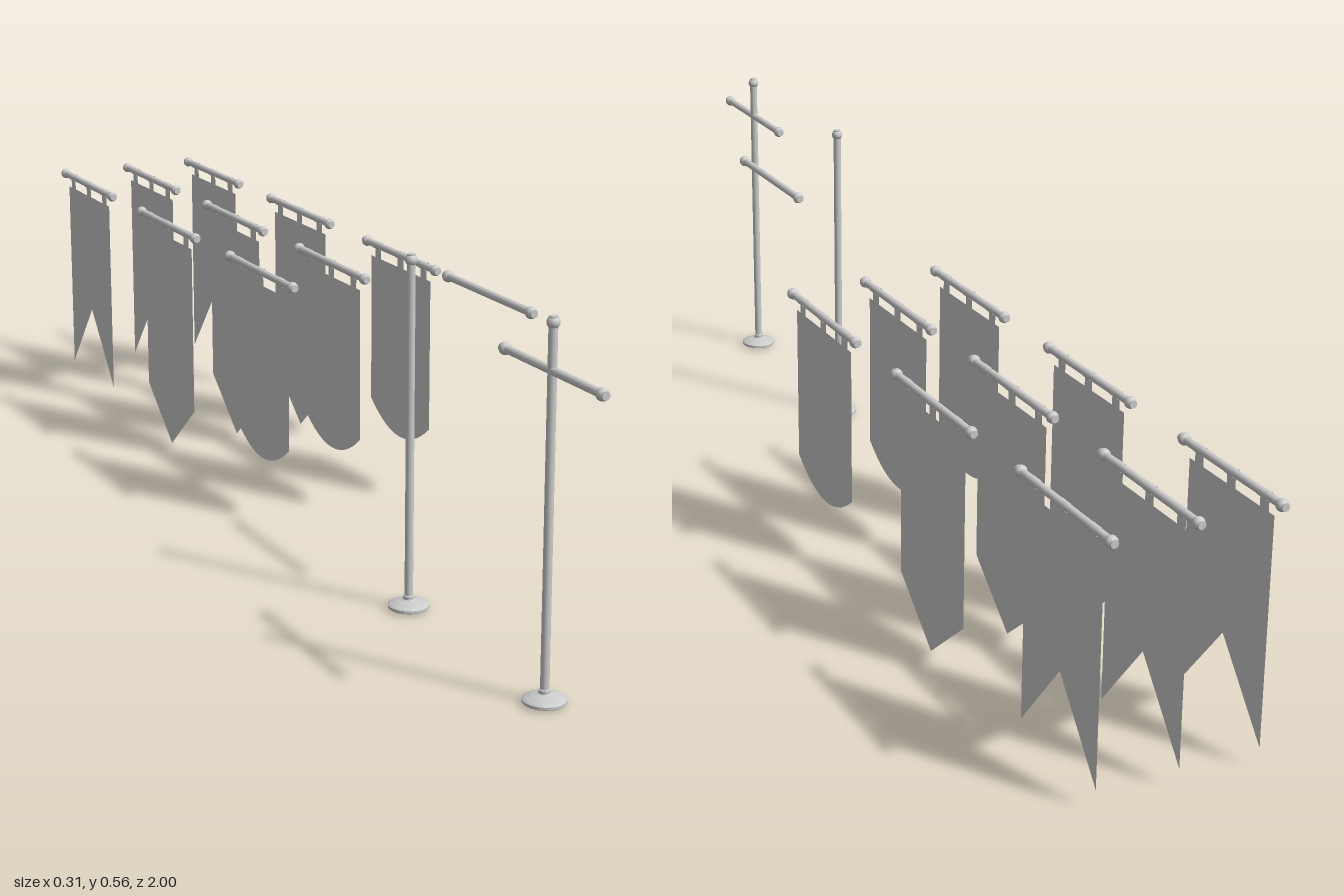
import * as THREE from 'three';

const metal = new THREE.MeshStandardMaterial({ color: 0xcccccc });
const fabric = new THREE.MeshStandardMaterial({ color: 0xcccccc, side: THREE.DoubleSide });

const COLUMNS = [-0.122, 0.01, 0.143];
const ROD_HALF = 0.134, ROD_R = 0.0062, BALL_R = 0.0095;
const HALF_W = 0.108, CLOTH_TOP = 0.392, ROD_Y = 0.415;

function addMesh(parent, name, geometry, material, x = 0, y = 0, z = 0) {
  const mesh = new THREE.Mesh(geometry, material);
  mesh.name = name;
  mesh.position.set(x, y, z);
  parent.add(mesh);
  return mesh;
}

// Horizontal rod along z with a ball at each end
function makeRod(name) {
  const g = new THREE.Group();
  g.name = name;
  const rod = addMesh(g, 'rod', new THREE.CylinderGeometry(ROD_R, ROD_R, 2 * ROD_HALF, 20), metal);
  rod.rotation.x = Math.PI / 2;
  for (const s of [-1, 1]) {
    addMesh(g, 'rodEndBall', new THREE.SphereGeometry(BALL_R, 20, 14), metal, 0, 0, s * (ROD_HALF - BALL_R));
  }
  return g;
}

// Upright pole with a stepped round foot and a ball near the top
function makeStand() {
  const g = new THREE.Group();
  g.name = 'stand';
  const foot = [[0, 0.003], [0.031, 0.003], [0.032, 0.004], [0.032, 0.008], [0.029, 0.010],
    [0.020, 0.0135], [0.010, 0.016], [0.0085, 0.017], [0.0085, 0.022], [0.0065, 0.023]];
  // each step is its own band so that the rims stay crisp
  for (let i = 0; i < foot.length - 1; i++) {
    const band = [foot[i], foot[i + 1]].map(([r, y]) => new THREE.Vector2(r, y));
    addMesh(g, 'foot', new THREE.LatheGeometry(band, 32), metal);
  }
  addMesh(g, 'pole', new THREE.CylinderGeometry(0.0066, 0.0066, 0.549, 20), metal, 0, 0.2835, 0);
  addMesh(g, 'poleBall', new THREE.SphereGeometry(BALL_R, 20, 14), metal, 0, 0.549, 0);
  return g;
}

// Lower edges, drawn from the left side of the cloth to the right side
const hems = {
  rounded(s) {
    s.lineTo(-HALF_W, 0.131);
    s.quadraticCurveTo(0, 0.045, HALF_W, 0.131);
  },
  pointed(s) {
    s.lineTo(-HALF_W, 0.09);
    s.lineTo(0, 0);
    s.lineTo(HALF_W, 0.09);
  },
  swallowtail(s) {
    s.lineTo(-HALF_W, 0.032);
    s.lineTo(0, 0.163);
    s.lineTo(HALF_W, 0.032);
  },
};

// Cloth with three hanging tabs looped over a rod
function makeBanner(style) {
  const g = new THREE.Group();
  g.name = style + 'Banner';
  const rod = makeRod('bannerRod');
  rod.position.y = ROD_Y;
  g.add(rod);

  const tabHalf = 0.011, tabTop = ROD_Y - ROD_R;
  const shape = new THREE.Shape();
  shape.moveTo(-HALF_W, CLOTH_TOP);
  hems[style](shape);
  shape.lineTo(HALF_W, CLOTH_TOP);
  for (const t of [0.083, 0, -0.083]) {
    shape.lineTo(t + tabHalf, CLOTH_TOP);
    shape.lineTo(t + tabHalf, tabTop);
    shape.lineTo(t - tabHalf, tabTop);
    shape.lineTo(t - tabHalf, CLOTH_TOP);
    const loop = new THREE.CylinderGeometry(0.0068, 0.0068, 2 * tabHalf, 20, 1, true);
    addMesh(g, 'tabLoop', loop, fabric, 0, ROD_Y, t).rotation.x = Math.PI / 2;
  }
  const cloth = addMesh(g, 'cloth', new THREE.ShapeGeometry(shape, 16), fabric);
  cloth.rotation.y = Math.PI / 2;
  return g;
}

export function createModel() {
  const model = new THREE.Group();
  model.name = 'bannerSet';
  const place = (part, x, y, z) => {
    part.position.set(x, y, z);
    model.add(part);
  };

  // Stand with its crossbar, then the stand and crossbar apart
  place(makeStand(), COLUMNS[0], 0, 0.866);
  place(makeRod('crossbar'), COLUMNS[0], 0.482, 0.866);
  place(makeStand(), COLUMNS[0], 0, 0.466);
  place(makeRod('crossbar'), COLUMNS[1], 0.482, 0.466);

  // Three rows of three banners
  Object.keys(hems).forEach((style, row) => {
    for (const x of COLUMNS) place(makeBanner(style), x, 0, -0.066 - 0.4 * row);
  });
  return model;
}
